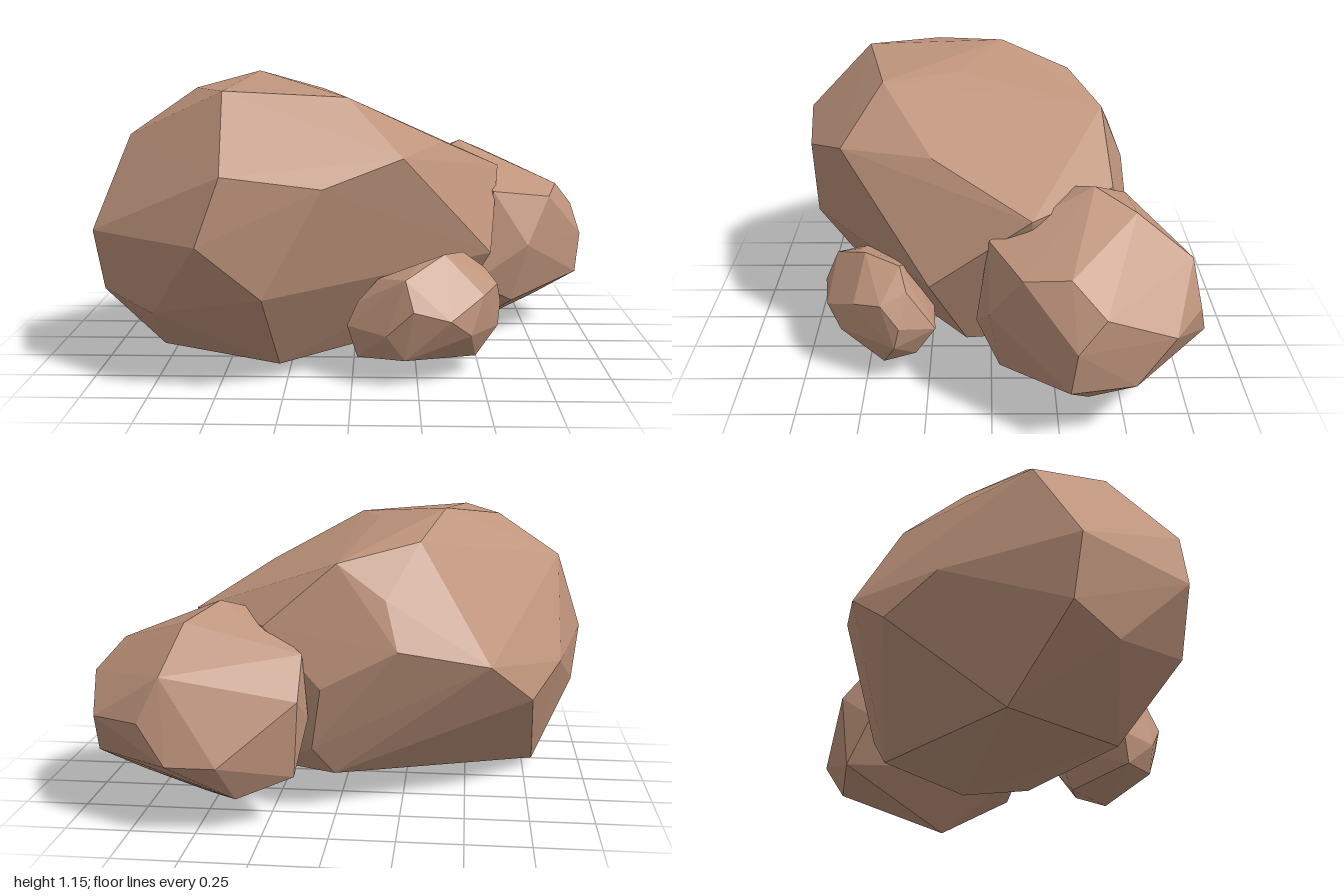
import * as THREE from 'three';
import { ConvexGeometry } from 'three/addons/geometries/ConvexGeometry.js';

const stone = new THREE.MeshStandardMaterial({ color: 0xbf947c, flatShading: true });

// A faceted rock: the hull around a few corner points
function rock(name, corners) {
  const points = corners.map(([x, y, z]) => new THREE.Vector3(x, y, z));
  const mesh = new THREE.Mesh(new ConvexGeometry(points), stone);
  mesh.name = name;
  return mesh;
}

export function createModel() {
  const group = new THREE.Group();
  group.name = 'rockCluster';

  group.add(rock('largeBoulder', [
    // crown
    [-0.48, 1.11, 0.53], [-0.02, 1.08, 0.44], [-0.62, 1.10, 0.23], [-0.40, 1.15, -0.05],
    [-0.12, 1.09, 0.14], [0.35, 0.89, 0.23], [-0.31, 1.05, -0.33], [0, 0.98, -0.45],
    // front and sides
    [-0.46, 0.83, 0.80], [-0.10, 0.78, 0.76], [0.19, 0.87, 0.60], [-0.55, 0.58, 0.82],
    [-0.32, 0.38, 0.78], [-1, 0.57, 0.46], [-0.88, 0.92, 0.28], [0.61, 0.74, -0.15],
    [0.55, 0.44, 0.24], [-0.97, 0.33, 0.42], [-0.76, 0.27, 0.56],
    // back
    [0.28, 0.74, -0.48], [0.05, 0.52, -0.57], [-0.24, 0.67, -0.57], [-0.19, 0.85, -0.50],
    [-0.59, 0.59, -0.45], [-0.76, 0.42, -0.28], [-0.88, 0.53, -0.06], [0.09, 0.27, -0.52],
    // underside
    [-0.79, 0.03, 0.17], [-0.28, 0.06, 0.52], [0.30, 0.09, -0.17], [0.40, 0.13, 0.10],
    [0.01, 0.15, -0.45],
  ]));

  group.add(rock('mediumBoulder', [
    // top
    [0.58, 0.65, 0.01], [0.83, 0.61, -0.11], [0.88, 0.64, -0.28], [0.36, 0.78, -0.31],
    [0.46, 0.82, -0.39], [0.57, 0.76, -0.54], [0.62, 0.60, -0.75], [0.12, 0.65, -0.55],
    // sides
    [0.97, 0.53, -0.40], [1, 0.41, -0.30], [0.98, 0.24, -0.28], [0.90, 0.42, -0.66],
    [0.93, 0.24, -0.52], [0.70, 0.43, -0.78], [0.59, 0.28, -0.82], [0.40, 0.28, -0.82],
    [0.12, 0.50, -0.68], [0.10, 0.40, -0.54], [0.73, 0.42, 0.01], [0.50, 0.27, 0.06],
    // underside
    [0.55, 0, -0.31], [0.80, 0.11, -0.36], [0.67, 0.17, -0.03], [0.35, 0.13, -0.72],
    [0.14, 0.20, -0.65],
  ]));

  group.add(rock('smallRock', [
    // top
    [0.52, 0.40, 0.33], [0.43, 0.47, 0.36], [0.35, 0.49, 0.50], [0.25, 0.46, 0.53],
    [0.10, 0.40, 0.52], [0.20, 0.42, 0.63], [0.30, 0.42, 0.32],
    // sides
    [0.23, 0.31, 0.68], [0.37, 0.27, 0.66], [0.13, 0.21, 0.65], [0.45, 0.20, 0.60],
    [0.50, 0.34, 0.54], [0.58, 0.27, 0.36], [0.56, 0.36, 0.43], [0.02, 0.31, 0.53],
    [-0.02, 0.22, 0.54], [0.52, 0.24, 0.22], [0.20, 0.25, 0.24],
    // underside
    [0.02, 0.10, 0.55], [0.20, 0.11, 0.63], [0.48, 0.07, 0.43], [0.30, 0.09, 0.30],
    [0.50, 0.12, 0.30], [0.57, 0.18, 0.38],
  ]));

  return group;
}
